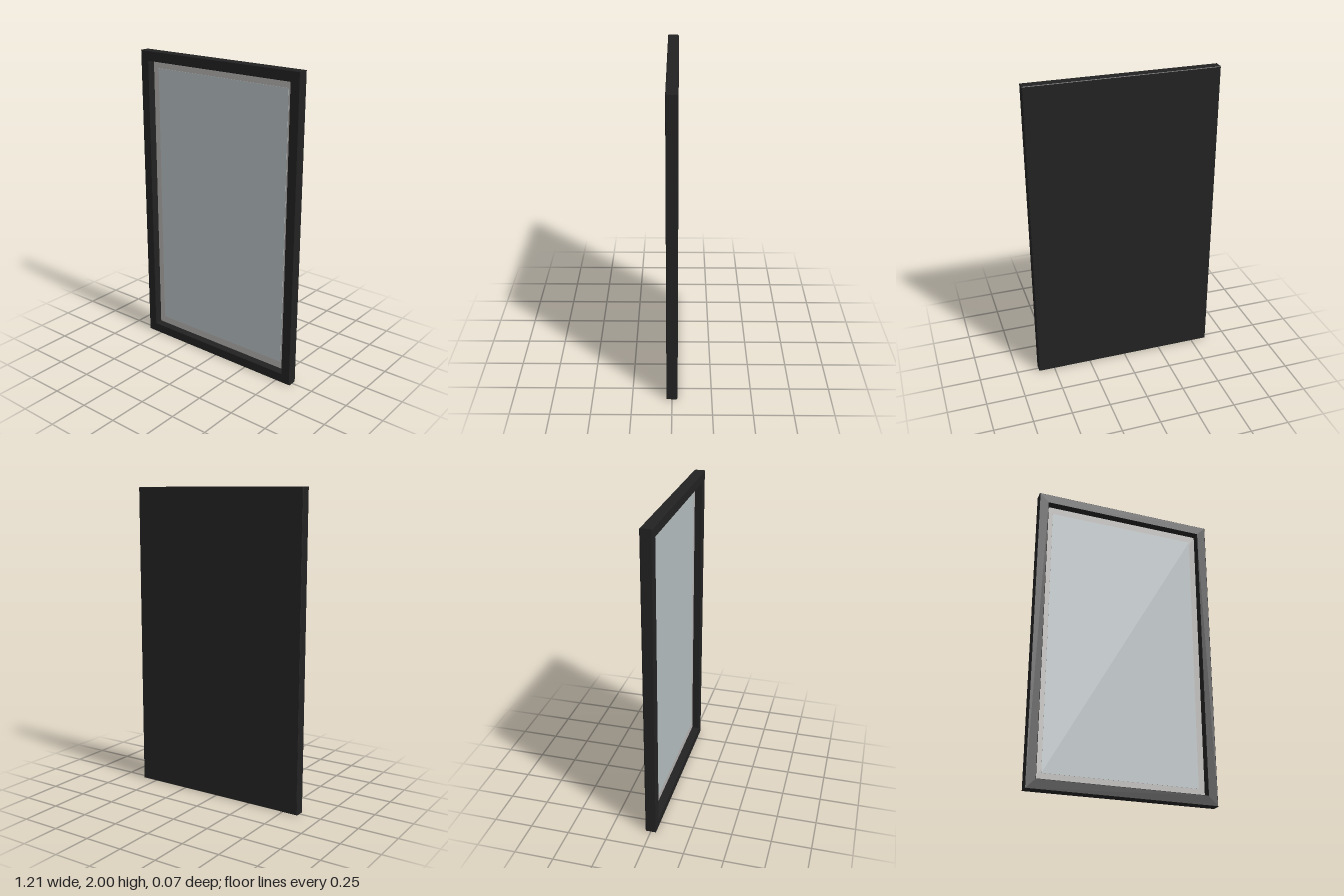
import * as THREE from 'three';

const W = 1.21, H = 2, BORDER = 0.064;
const FRONT = 0.035, BACK = -0.035, PANEL = -0.015;

// Closed rectangle centred on the origin
function rectangle(w, h, Type = THREE.Shape) {
  const path = new Type();
  path.moveTo(-w / 2, -h / 2);
  path.lineTo(w / 2, -h / 2);
  path.lineTo(w / 2, h / 2);
  path.lineTo(-w / 2, h / 2);
  path.closePath();
  return path;
}

export function createModel() {
  const group = new THREE.Group();
  const dark = new THREE.MeshStandardMaterial({ color: 0x222222 });
  const matColor = new THREE.MeshStandardMaterial({ color: 0xb3b0ae });
  const paneColor = new THREE.MeshStandardMaterial({ color: 0xb5bdbf });

  function add(name, geometry, material, z) {
    const mesh = new THREE.Mesh(geometry, material);
    mesh.name = name;
    mesh.position.set(0, H / 2, z);
    group.add(mesh);
  }

  // Border frame with slightly eased edges
  const bevel = 0.003, frameBack = BACK + 0.003;
  const outline = rectangle(W, H);
  outline.holes.push(rectangle(W - 2 * BORDER, H - 2 * BORDER, THREE.Path));
  const frame = new THREE.ExtrudeGeometry(outline, {
    depth: FRONT - frameBack - 2 * bevel,
    bevelEnabled: true, bevelSize: bevel, bevelThickness: bevel,
    bevelOffset: -bevel, bevelSegments: 1,
  });
  add('frame', frame, dark, frameBack + bevel);

  // Closed back board
  const boardDepth = 0.016;
  add('backBoard', new THREE.BoxGeometry(W - 0.008, H - 0.008, boardDepth), dark, BACK + boardDepth / 2);

  // Recessed mat and the pane lying on it
  add('mat', new THREE.BoxGeometry(W - 2 * BORDER + 0.01, H - 2 * BORDER + 0.01, 0.006), matColor, PANEL - 0.003);
  add('pane', new THREE.BoxGeometry(1.0, 1.776, 0.002), paneColor, PANEL + 0.001);

  return group;
}
